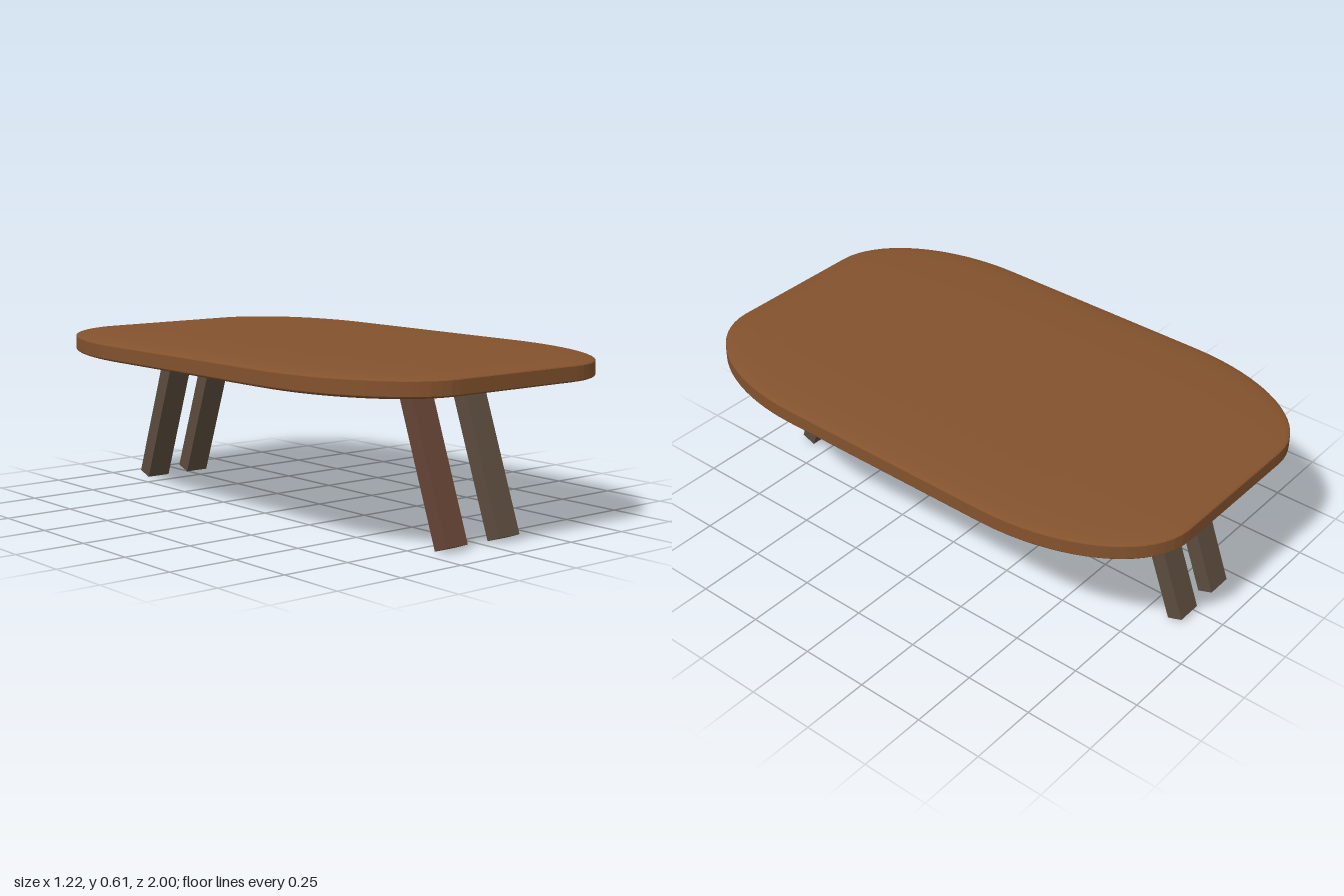
import * as THREE from 'three';
import { RoundedBoxGeometry } from 'three/addons/geometries/RoundedBoxGeometry.js';

export function createModel() {
  const group = new THREE.Group();
  group.name = 'table';

  const material = (name, color, flatShading = false) => {
    const m = new THREE.MeshStandardMaterial({ color, flatShading });
    m.name = name;
    return m;
  };
  const topWood = material('topWood', 0x83522d, true);
  const redWood = material('redWood', 0x654434);
  const greyWood = material('greyWood', 0x5b4b3d);

  // Tabletop: a generously rounded cube squashed into a long, crowned slab
  const slab = new RoundedBoxGeometry(2, 2, 2, 10, 0.57);
  slab.scale(0.608, 0.054, 1);
  const top = new THREE.Mesh(slab, topWood);
  top.name = 'tabletop';
  top.position.y = 0.559;
  group.add(top);

  // Splayed legs: square-cut planks hinged at the centre of the foot
  const tilt = THREE.MathUtils.degToRad(20);
  const plank = new THREE.BoxGeometry(0.094, 0.57, 0.058);
  plank.translate(0, 0.285, 0);
  const addLeg = (name, x, z, wood) => {
    const leg = new THREE.Mesh(plank, wood);
    leg.name = name;
    leg.position.set(x, 0.01, z);
    leg.rotation.x = -Math.sign(z) * tilt;
    group.add(leg);
  };
  addLeg('frontRightLeg', -0.142, 0.843, redWood);
  addLeg('frontLeftLeg', 0.095, 0.843, greyWood);
  addLeg('backRightLeg', -0.142, -0.862, greyWood);
  addLeg('backLeftLeg', 0.042, -0.862, greyWood);

  return group;
}
